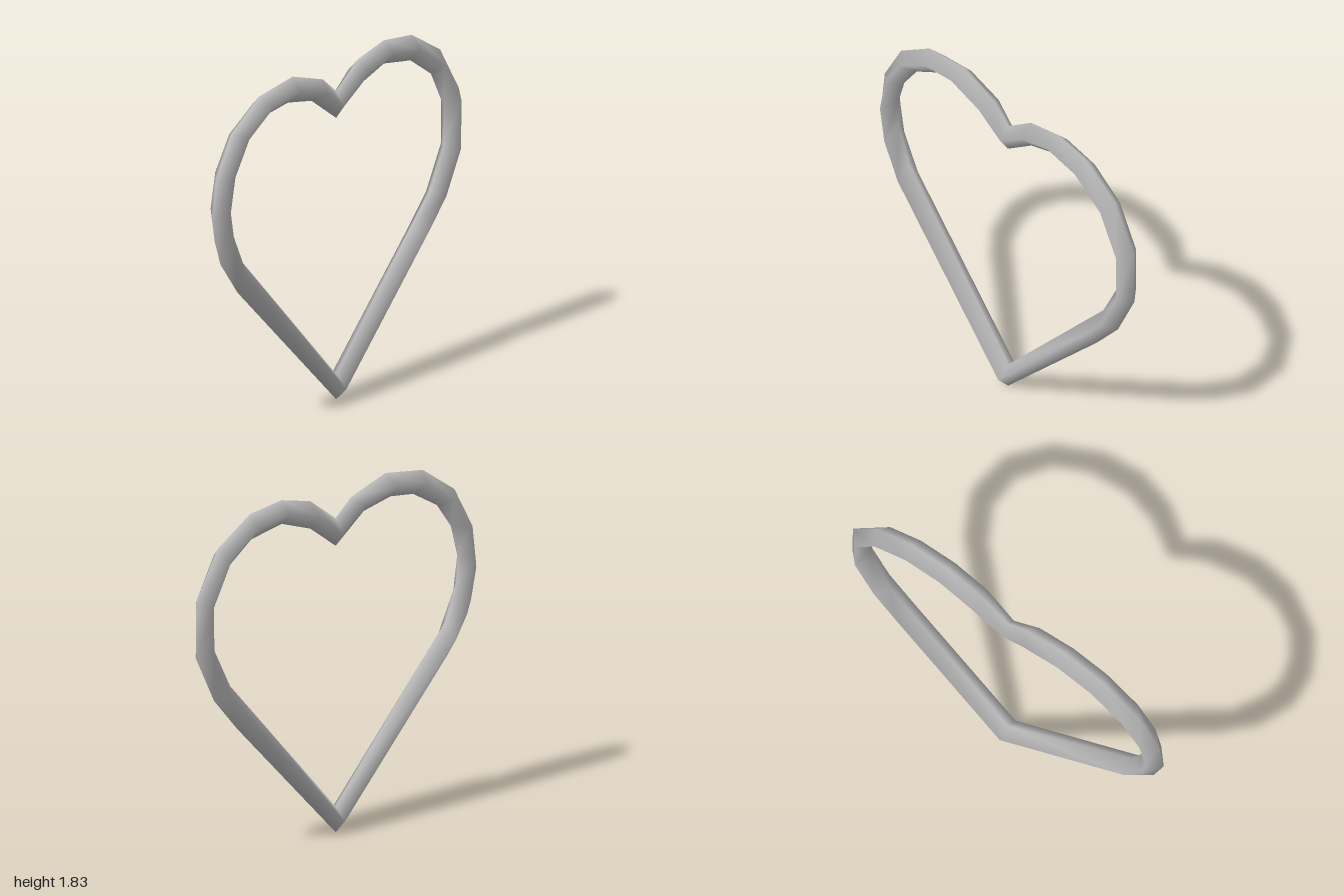
import * as THREE from 'three';

// Each station of the heart: outer x, outer y, inner x, inner y.
// Runs from the bottom tip up the right-hand lobe, over the cleft and down the other.
const BOTTOM_TIP = [[0, 0, 0, 0.135]];
const PLUS_X_LOBE = [
  [0.70, 0.68, 0.62, 0.78], [0.865, 0.86, 0.75, 0.915], [0.995, 1.11, 0.86, 1.12],
  [0.99, 1.41, 0.87, 1.34], [0.84, 1.655, 0.765, 1.545], [0.61, 1.795, 0.60, 1.66],
  [0.385, 1.825, 0.385, 1.70], [0.18, 1.78, 0.18, 1.635],
];
const CLEFT = [[0, 1.655, 0, 1.51]];
const MINUS_X_LOBE = [
  [-0.107, 1.745, -0.20, 1.655], [-0.353, 1.825, -0.39, 1.695], [-0.62, 1.79, -0.55, 1.677],
  [-0.845, 1.645, -0.72, 1.585], [-0.973, 1.425, -0.818, 1.457], [-1.0, 1.205, -0.866, 1.308],
  [-0.935, 0.97, -0.861, 1.163], [-0.797, 0.783, -0.786, 0.965],
];

// Closed ring with a diamond cross-section: outer, front, inner and back edges
function diamondRing(stations) {
  const positions = [];
  const index = [];
  const n = stations.length;
  stations.forEach(([ox, oy, ix, iy], i) => {
    const mx = (ox + ix) / 2;
    const my = (oy + iy) / 2;
    const depth = stations[i] === CLEFT[0] ? 0.052 : 0.066;
    positions.push(ox, oy, 0, mx, my, depth, ix, iy, 0, mx, my, -depth);
    const next = (i + 1) % n;
    for (let j = 0; j < 4; j++) {
      const k = (j + 1) % 4;
      const a = i * 4 + j, b = next * 4 + j, c = next * 4 + k, d = i * 4 + k;
      index.push(a, b, d, b, c, d);
    }
  });
  const geometry = new THREE.BufferGeometry();
  geometry.setAttribute('position', new THREE.Float32BufferAttribute(positions, 3));
  geometry.setIndex(index);
  geometry.computeVertexNormals();
  return geometry;
}

export function createModel() {
  const group = new THREE.Group();
  group.name = 'heartRing';

  const grey = new THREE.MeshStandardMaterial({ color: 0xb8b8b8 });
  grey.name = 'light grey';

  // Heart-shaped frame
  const frame = new THREE.Mesh(
    diamondRing([...BOTTOM_TIP, ...PLUS_X_LOBE, ...CLEFT, ...MINUS_X_LOBE]), grey);
  frame.name = 'heartFrame';
  group.add(frame);

  return group;
}
